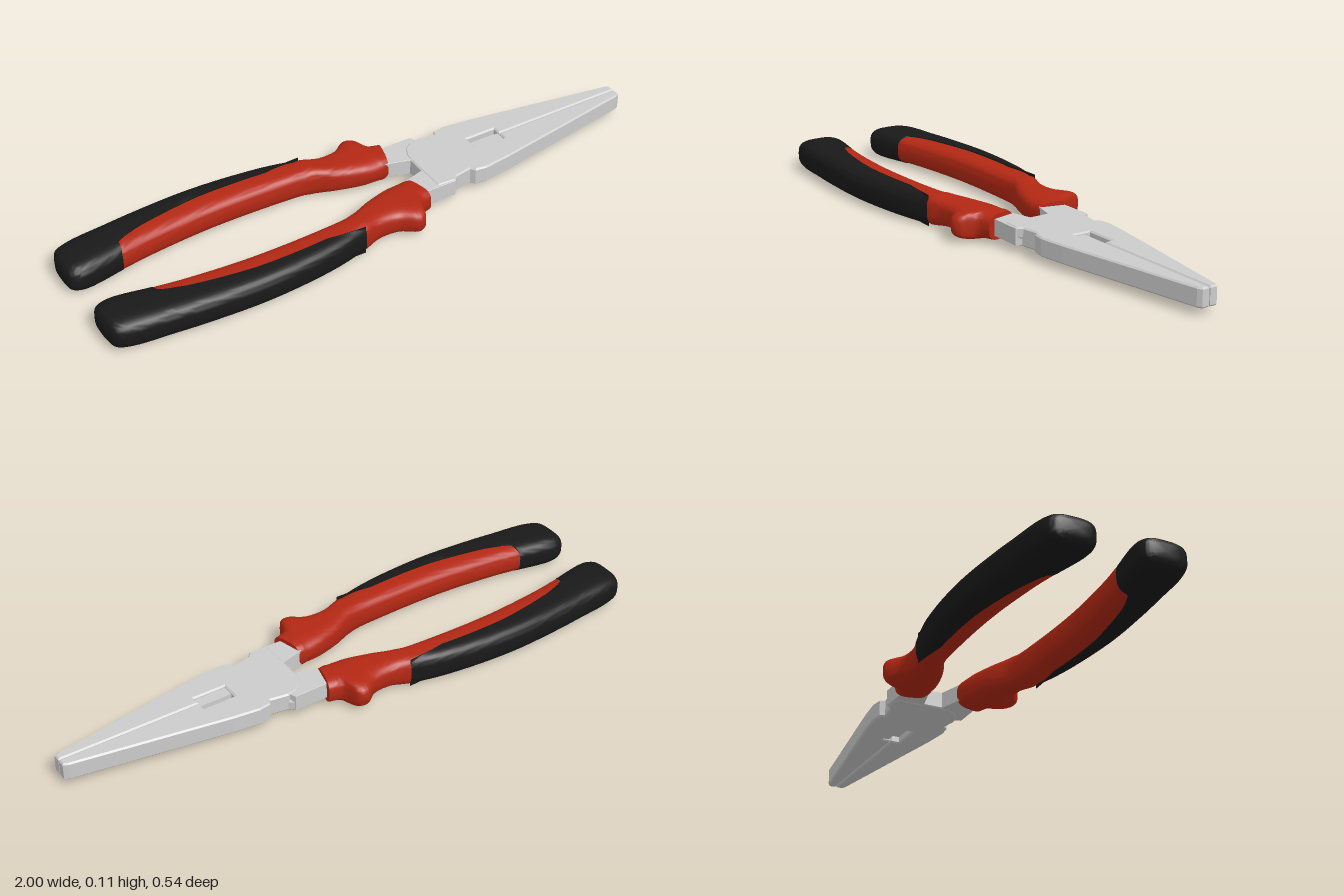
import * as THREE from 'three';
import { toCreasedNormals } from 'three/addons/utils/BufferGeometryUtils.js';

const MID = 0.054; // height of the middle plane
const steel = new THREE.MeshStandardMaterial({ color: 0xcccccc });
const red = new THREE.MeshStandardMaterial({ color: 0xb32814 });
const black = new THREE.MeshStandardMaterial({ color: 0x191919 });

// Grip stations: inner x, inner z, outer x, outer z, half height, start of the black cover (0 inner, 1 outer)
const GRIP = [
  [-1.0, 0.1, -1.0, 0.185, 0.025, 0],
  [-0.988, 0.078, -0.985, 0.22, 0.043, 0],
  [-0.95, 0.067, -0.94, 0.236, 0.052, 0],
  [-0.815, 0.09, -0.82, 0.25, 0.053, 0],
  [-0.805, 0.091, -0.81, 0.251, 0.053, 0.26],
  [-0.72, 0.105, -0.72, 0.26, 0.053, 0.39],
  [-0.5, 0.125, -0.5, 0.27, 0.053, 0.52],
  [-0.26, 0.125, -0.26, 0.248, 0.053, 0.58],
  [-0.13, 0.115, -0.13, 0.216, 0.052, 0.93],
  [-0.05, 0.08, -0.07, 0.2, 0.046, 1],
  [0.03, 0.056, 0.0, 0.206, 0.045, 1],
  [0.07, 0.05, 0.052, 0.24, 0.045, 1],
  [0.085, 0.05, 0.078, 0.232, 0.045, 1],
  [0.1, 0.05, 0.103, 0.175, 0.044, 1],
  [0.118, 0.052, 0.145, 0.16, 0.042, 1],
];
const LAST = GRIP.length - 1;
const BLACK_END = 8;
const inner = new THREE.CatmullRomCurve3(GRIP.map((r) => new THREE.Vector3(r[0], r[4], r[1])));
const outer = new THREE.CatmullRomCurve3(GRIP.map((r) => new THREE.Vector3(r[2], r[4], r[3])));

// Loft of rounded sections between stations; the black cover is cut off at its inner boundary
function gripGeometry(side, from, to, isCover) {
  const SEG = 36, SUB = 5;
  const rings = (to - from) * SUB;
  const pos = [], index = [];
  for (let i = 0; i <= rings; i++) {
    const s = from + i / SUB;
    const a = inner.getPoint(s / LAST), b = outer.getPoint(s / LAST);
    const k = Math.min(Math.floor(s), LAST - 1);
    const cut = isCover ? THREE.MathUtils.lerp(GRIP[k][5], GRIP[k + 1][5], s - k) : 0;
    const under = !isCover && s < BLACK_END;
    for (let j = 0; j < SEG; j++) {
      const ang = (j / SEG) * Math.PI * 2;
      const c = Math.cos(ang), n = Math.sin(ang);
      let t = 0.5 + 0.5 * Math.sign(c) * Math.abs(c) ** 0.62;
      t = Math.max(t * (under ? 0.96 : 1), cut);
      const y = Math.sign(n) * Math.abs(n) ** 0.62 * a.y * (under ? 0.93 : 1);
      pos.push(a.x + (b.x - a.x) * t, MID + y, side * (a.z + (b.z - a.z) * t));
    }
  }
  const tri = (a, b, c) => (side > 0 ? index.push(a, b, c) : index.push(a, c, b));
  for (let i = 0; i < rings; i++) {
    for (let j = 0; j < SEG; j++) {
      const p = i * SEG + j, q = i * SEG + ((j + 1) % SEG);
      tri(p, p + SEG, q);
      tri(q, p + SEG, q + SEG);
    }
  }
  // End caps
  for (const ring of [0, rings]) {
    const base = ring * SEG, centre = pos.length / 3;
    const sum = [0, 0, 0];
    for (let j = 0; j < SEG; j++) for (let d = 0; d < 3; d++) sum[d] += pos[(base + j) * 3 + d] / SEG;
    pos.push(...sum);
    for (let j = 0; j < SEG; j++) {
      const p = base + j, q = base + ((j + 1) % SEG);
      if (ring === 0) tri(centre, p, q);
      else tri(centre, q, p);
    }
  }
  const g = new THREE.BufferGeometry();
  g.setAttribute('position', new THREE.Float32BufferAttribute(pos, 3));
  g.setIndex(index);
  return toCreasedNormals(g, 0.7);
}

// Bevelled plate from an x/z outline, between two heights
function plate(points, bottom, top, bevel) {
  const shape = new THREE.Shape(points.map(([x, z]) => new THREE.Vector2(x, z)));
  const g = new THREE.ExtrudeGeometry(shape, {
    depth: top - bottom - 2 * bevel, bevelThickness: bevel, bevelSize: bevel,
    bevelOffset: -bevel, bevelSegments: 1,
  });
  g.rotateX(Math.PI / 2);
  g.translate(0, top - bevel, 0);
  return g;
}

export function createModel() {
  const group = new THREE.Group();
  const add = (name, geometry, material) => {
    const mesh = new THREE.Mesh(geometry, material);
    mesh.name = name;
    group.add(mesh);
    return mesh;
  };

  // Handles: red grip, black cover, steel shank
  const shank = [[0.05, 0.07], [0.12, 0.052], [0.2, 0.03], [0.3, 0.02], [0.3, 0.108],
    [0.263, 0.117], [0.255, 0.137], [0.12, 0.135], [0.05, 0.12]];
  for (const [side, label] of [[1, 'left'], [-1, 'right']]) {
    add(label + 'Grip', gripGeometry(side, 3, LAST, false), red);
    add(label + 'GripCover', gripGeometry(side, 0, BLACK_END, true), black);
    add(label + 'Shank', plate(shank.map(([x, z]) => [x, z * side]), MID - 0.028, MID + 0.028, 0.001), steel);
  }

  // Jaws: half outline from joint to tip, then back along the slit and around the slot
  const outside = [[0.27, 0.119], [0.33, 0.109], [0.34, 0.125], [0.38, 0.131], [0.47, 0.12],
    [0.59, 0.1], [0.985, 0.034], [1, 0.026]];
  const slit = [[1, 0.0015], [0.52, 0.0015], [0.52, 0.03], [0.41, 0.03]];
  const half = [...outside, ...slit];
  const mirrored = half.map(([x, z]) => [x, -z]).reverse();
  // Rounded shoulder on one side, square shoulder on the other
  const joint = [[0.235, -0.112], [0.208, -0.092], [0.193, -0.06], [0.19, -0.03], [0.19, 0.13], [0.255, 0.135]];
  const layer = plate([...half, ...mirrored, ...joint], -0.006, 0.031, 0.005);

  // Two lapped layers, the lower one turned over
  for (const [name, turn] of [['upperJawLayer', 0], ['lowerJawLayer', Math.PI]]) {
    const mesh = add(name, layer, steel);
    mesh.position.y = MID;
    mesh.rotation.x = turn;
  }

  // Stepped floor inside the slot
  for (const s of [1, -1]) {
    const floor = add('slotFloor', new THREE.BoxGeometry(0.112, 0.03, s > 0 ? 0.04 : 0.022), steel);
    floor.position.set(0.465, MID + s * 0.008, s > 0 ? 0.011 : -0.02);
  }
  return group;
}
